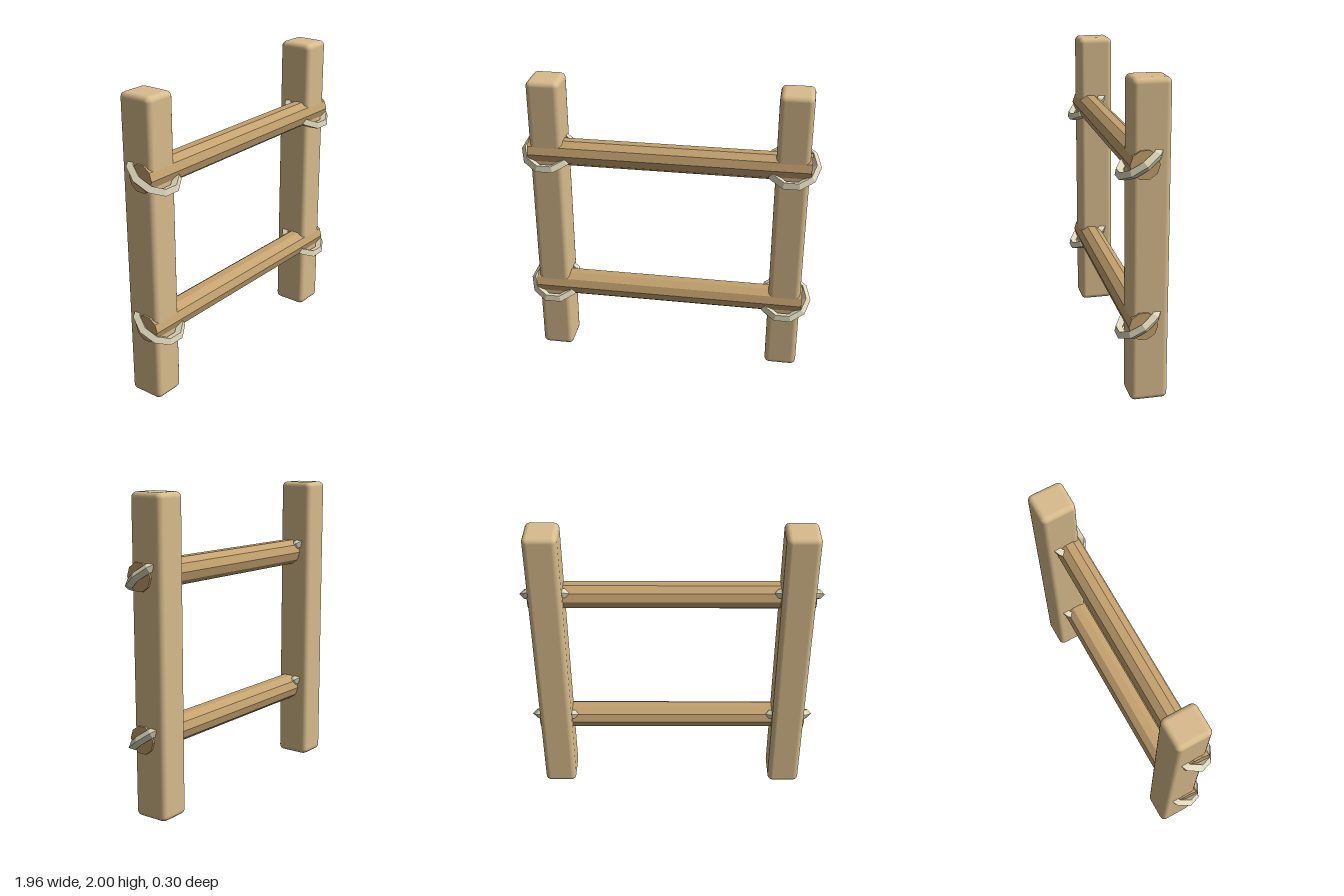
import * as THREE from 'three';
import { RoundedBoxGeometry } from 'three/addons/geometries/RoundedBoxGeometry.js';

export function createModel() {
  const model = new THREE.Group();
  model.name = 'ladderSection';

  const postWood = new THREE.MeshStandardMaterial({ color: 0xd8bc8c });
  const rungWood = new THREE.MeshStandardMaterial({ color: 0xc4a26f, flatShading: true });
  const rope = new THREE.MeshStandardMaterial({ color: 0xe0d8bb, flatShading: true });

  const add = (name, geometry, material, x, y, z) => {
    const mesh = new THREE.Mesh(geometry, material);
    mesh.name = name;
    mesh.position.set(x, y, z);
    model.add(mesh);
    return mesh;
  };

  // Square posts with softened edges
  const postGeometry = new RoundedBoxGeometry(0.215, 2, 0.235, 3, 0.035);

  // Ten-sided rungs running along x, with a ridge facing forward
  const rungGeometry = new THREE.CylinderGeometry(0.09, 0.09, 1.84, 10);
  rungGeometry.rotateZ(Math.PI / 2);

  // Faceted rope loop with a diamond section, its front tilted down
  const loopGeometry = new THREE.TorusGeometry(0.15, 0.03, 4, 10);
  loopGeometry.rotateX(Math.PI / 2 + 0.62);

  const rungHeights = { lower: 0.505, upper: 1.505 };
  for (const [level, y] of Object.entries(rungHeights)) {
    add(`${level}Rung`, rungGeometry, rungWood, 0, y, 0.01);
  }

  for (const [side, sign] of [['left', 1], ['right', -1]]) {
    add(`${side}Post`, postGeometry, postWood, sign * 0.8, 1, -0.033);
    for (const [level, y] of Object.entries(rungHeights)) {
      add(`${side}${level === 'upper' ? 'Upper' : 'Lower'}RopeLoop`, loopGeometry, rope, sign * 0.8, y + 0.004, 0.01);
    }
  }

  return model;
}
